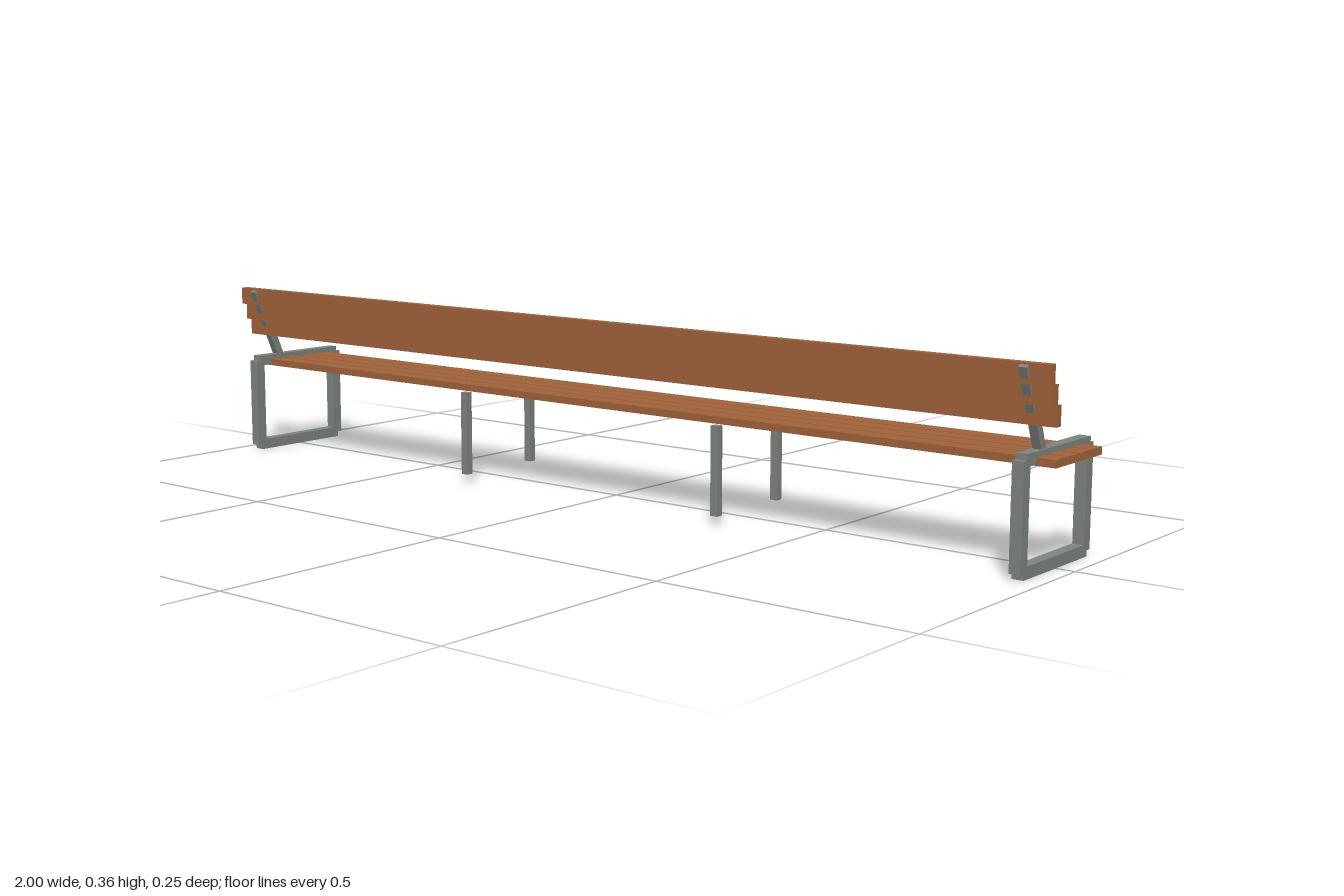
import * as THREE from 'three';

export function createModel() {
  const bench = new THREE.Group();
  bench.name = 'bench';

  const wood = new THREE.MeshStandardMaterial({ color: 0xa0623a });
  wood.name = 'wood';
  const steel = new THREE.MeshStandardMaterial({ color: 0x7d837f });
  steel.name = 'steel';

  function box(parent, name, material, size, position) {
    const mesh = new THREE.Mesh(new THREE.BoxGeometry(...size), material);
    mesh.name = name;
    mesh.position.set(...position);
    parent.add(mesh);
    return mesh;
  }

  // Four seat planks with narrow gaps
  for (let i = 0; i < 4; i++) {
    box(bench, 'seatSlat', wood, [2, 0.014, 0.038], [0, 0.195, (1.5 - i) * 0.0423]);
  }

  // Three backrest planks, stepped along the lean
  for (let i = 0; i < 3; i++) {
    box(bench, 'backSlat', wood, [2, 0.036, 0.0165], [0, 0.274 + i * 0.035, 0.0793 + i * 0.0124]);
  }

  const bar = 0.022; // square tube of the end frames
  const backLow = new THREE.Vector2(0.047, 0.2); // (z, y)
  const backHigh = new THREE.Vector2(0.1135, 0.358);
  const lean = backHigh.clone().sub(backLow);

  for (const side of [-1, 1]) {
    // Closed rectangular end frame, bars ending on each other's centre lines
    const frame = new THREE.Group();
    frame.name = side > 0 ? 'leftEndFrame' : 'rightEndFrame';
    frame.position.x = side * 0.953;
    bench.add(frame);
    box(frame, 'frameTop', steel, [bar, bar, 0.226], [0, 0.201, 0]);
    box(frame, 'frameFoot', steel, [bar, bar, 0.226], [0, 0.011, 0]);
    for (const end of [-1, 1]) {
      box(frame, 'frameLeg', steel, [bar, 0.19, bar], [0, 0.106, end * 0.113]);
    }

    // Leaning bar that carries the backrest
    const support = box(frame, 'backSupport', steel, [0.016, lean.length(), 0.0165],
      [0, (backLow.y + backHigh.y) / 2, (backLow.x + backHigh.x) / 2]);
    support.rotation.x = Math.atan2(lean.x, lean.y);

    // Slim middle legs at front and back
    for (const end of [-1, 1]) {
      box(bench, 'middleLeg', steel, [0.016, 0.17, 0.015], [side * 0.32, 0.103, end * 0.096]);
    }
  }

  return bench;
}
